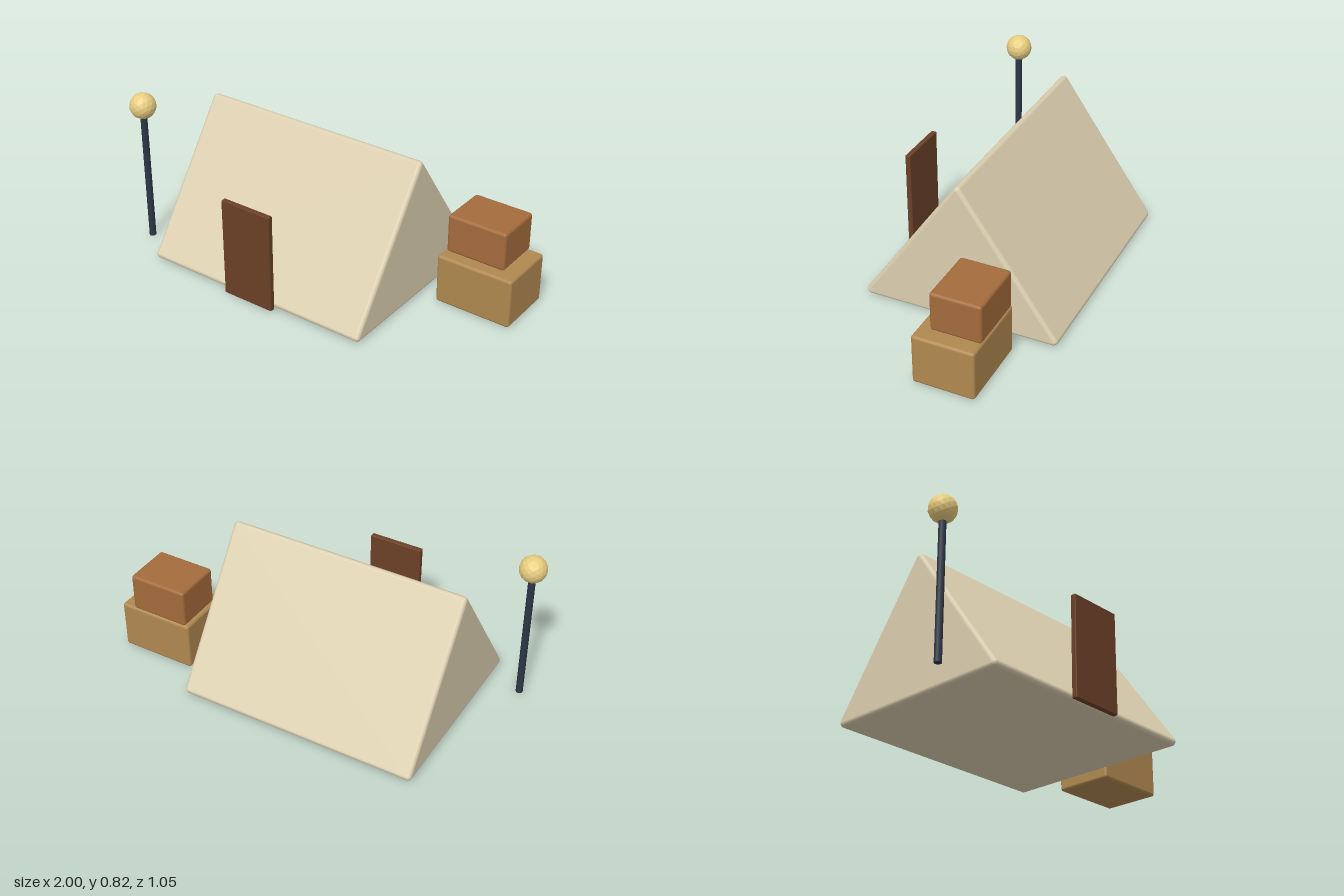
import * as THREE from 'three';
import { RoundedBoxGeometry } from 'three/addons/geometries/RoundedBoxGeometry.js';
import { ConvexGeometry } from 'three/addons/geometries/ConvexGeometry.js';

function addMesh(group, name, geometry, color, options = {}) {
  const mesh = new THREE.Mesh(geometry, new THREE.MeshStandardMaterial({ color, ...options }));
  mesh.name = name;
  group.add(mesh);
  return mesh;
}

// Rounded box given by its lower and upper corners.
function addBox(group, name, min, max, radius, color) {
  const [w, h, d] = max.map((v, i) => v - min[i]);
  const mesh = addMesh(group, name, new RoundedBoxGeometry(w, h, d, 3, radius), color);
  mesh.position.set(...max.map((v, i) => (v + min[i]) / 2));
}

// Triangular prism along x, with rounded edges and corners.
// section holds the [z, y] centres of the corner rounding.
function roundedPrism(section, x0, x1, r, steps) {
  const corners = section.map(([z, y]) => new THREE.Vector3(0, y, z));
  const middle = corners.reduce((s, c) => s.add(c), new THREE.Vector3()).divideScalar(3);
  const sideNormals = corners.map((c, i) => {
    const e = corners[(i + 1) % 3].clone().sub(c);
    const n = new THREE.Vector3(0, e.z, -e.y).normalize();
    return n.dot(c.clone().sub(middle)) < 0 ? n.negate() : n;
  });
  const points = [], centres = [];
  for (const [x, s] of [[x0 + r, -1], [x1 - r, 1]]) {
    corners.forEach((c, i) => {
      const centre = new THREE.Vector3(x, c.y, c.z);
      centres.push(centre);
      const a = sideNormals[i], b = sideNormals[(i + 2) % 3], e = new THREE.Vector3(s, 0, 0);
      for (let u = 0; u <= steps; u++) {
        for (let v = 0; v <= steps - u; v++) {
          const dir = new THREE.Vector3().addScaledVector(a, u).addScaledVector(b, v)
            .addScaledVector(e, steps - u - v).normalize();
          points.push(dir.multiplyScalar(r).add(centre));
        }
      }
    });
  }
  const geometry = new ConvexGeometry(points);
  // Smooth normals point straight out from the nearest rounding centre.
  const pos = geometry.attributes.position, normal = geometry.attributes.normal;
  const p = new THREE.Vector3();
  for (let i = 0; i < pos.count; i++) {
    p.fromBufferAttribute(pos, i);
    const near = centres.reduce((m, c) => (c.distanceTo(p) < m.distanceTo(p) ? c : m));
    p.sub(near).normalize();
    normal.setXYZ(i, p.x, p.y, p.z);
  }
  return geometry;
}

export function createModel() {
  const model = new THREE.Group();
  model.name = 'campsite';

  // Tent body and door panel
  addMesh(model, 'tent',
    roundedPrism([[0.475, 0.025], [-0.013, 0.722], [-0.505, 0.025]], -0.76, 0.505, 0.02, 4), 0xdccfb0);
  addBox(model, 'door', [-0.27, 0.005, 0.497], [0.016, 0.525, 0.525], 0.004, 0x6b4027);

  // Stacked crates
  addBox(model, 'lowerCrate', [0.595, 0, -0.345], [1, 0.26, -0.03], 0.015, 0xb08850);
  addBox(model, 'upperCrate', [0.61, 0.26, -0.345], [0.925, 0.462, -0.088], 0.015, 0xa36b3c);

  // Lamp post
  const lamp = new THREE.Group();
  lamp.name = 'lampPost';
  lamp.position.set(-0.933, 0, 0.333);
  addMesh(lamp, 'pole', new THREE.CylinderGeometry(0.018, 0.018, 0.715, 12), 0x2c3645).position.y = 0.3625;
  addMesh(lamp, 'lampGlobe', new THREE.IcosahedronGeometry(0.068, 2), 0xe8cd80, { flatShading: true }).position.y = 0.755;
  model.add(lamp);

  return model;
}
